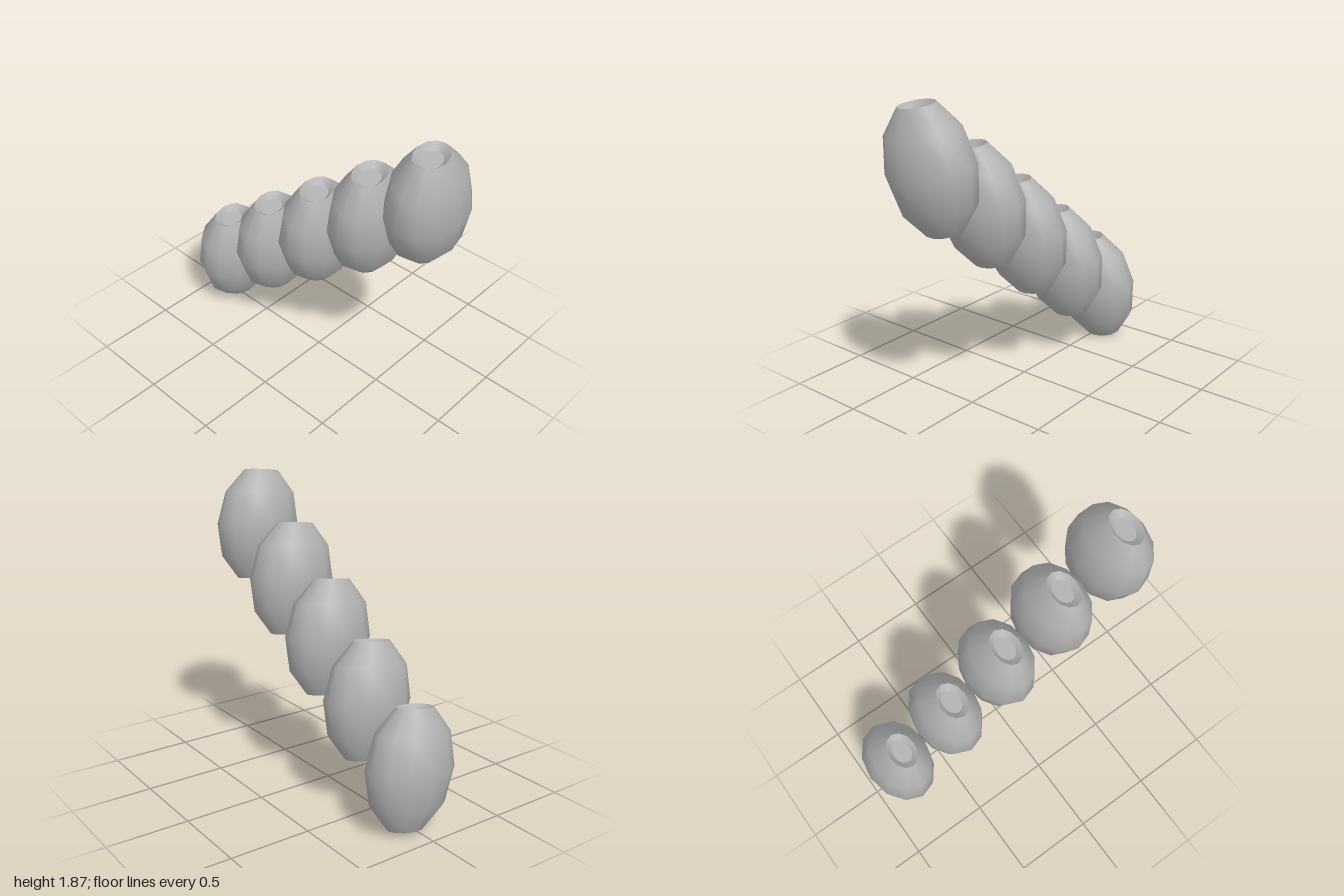
import * as THREE from 'three';

const SIDES = 12;
const RX = 0.21, RZ = 0.28;   // oval half widths of a bead
const HALF = 0.345;           // half height between the end rims

// Lean of a bead: its axis tips to +x and +z, its rims dip the same way
const lean = new THREE.Matrix4().set(
  1, 0.10, 0, 0,
  -0.17, 1, -0.125, 0,
  0, 0.157, 1, 0,
  0, 0, 0, 1
);

// Oval lathe from [radius factor, height] pairs, listed from bottom to top
function ovalLathe(profile) {
  const g = new THREE.LatheGeometry(profile.map(([r, y]) => new THREE.Vector2(r, y)), SIDES);
  return g.scale(RX, 1, RZ).applyMatrix4(lean);
}

export function createModel() {
  const grey = new THREE.MeshStandardMaterial({ color: 0xb0b0b0 });
  grey.name = 'bead grey';

  // Separate surfaces keep the rims crisp while the shell stays smooth
  const floorY = HALF - 0.035;
  const parts = {
    shell: ovalLathe([[0.42, -HALF], [0.845, -0.205], [1, 0], [0.845, 0.205], [0.42, HALF]]),
    base: ovalLathe([[0, -HALF], [0.42, -HALF]]),
    recess: ovalLathe([[0.42, HALF], [0.27, floorY]]),
    recessFloor: ovalLathe([[0.27, floorY], [0, floorY]]),
  };

  // Five beads climbing in a diagonal row
  const model = new THREE.Group();
  model.name = 'beadRow';
  for (let i = 0; i < 5; i++) {
    const bead = new THREE.Group();
    bead.name = `bead${i + 1}`;
    for (const [name, geometry] of Object.entries(parts)) {
      const mesh = new THREE.Mesh(geometry, grey);
      mesh.name = name;
      bead.add(mesh);
    }
    bead.position.set((i - 2) * 0.393, 0.366 + i * 0.285, 0);
    model.add(bead);
  }
  return model;
}
